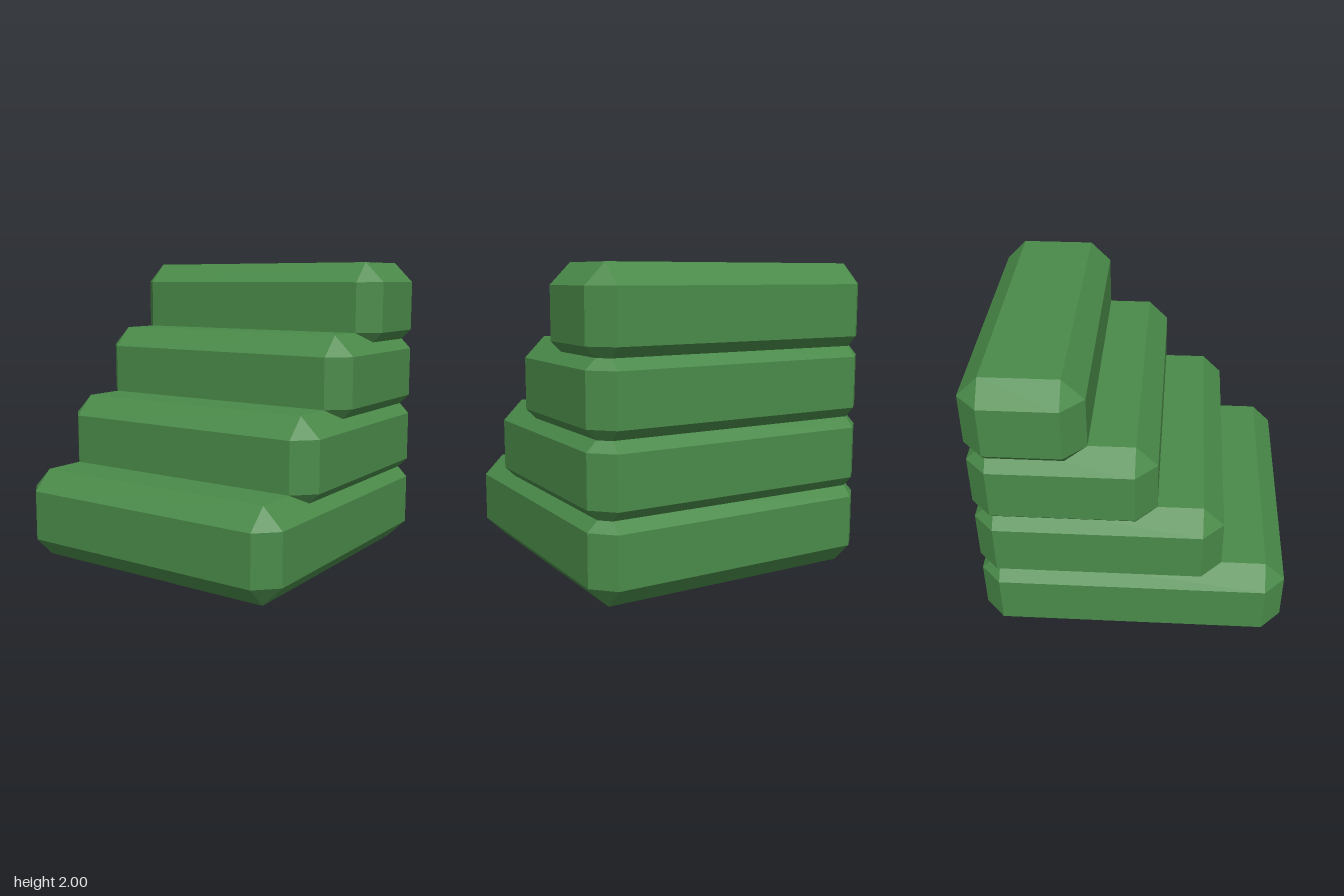
import * as THREE from 'three';
import { ConvexGeometry } from 'three/addons/geometries/ConvexGeometry.js';

const STEPS = 4;
const HEIGHT = 0.6;     // height of one step
const RISE = 1.4 / 3;   // steps overlap by one chamfer
const RUN = 0.42;       // how far each step sits back
const CHAMFER = 0.133;

// Box with every edge cut at 45 degrees: three points at each corner
function chamferedBox(w, h, d, c) {
  const points = [];
  for (const x of [-1, 1]) for (const y of [-1, 1]) for (const z of [-1, 1]) {
    for (let axis = 0; axis < 3; axis++) {
      const inset = [c, c, c];
      inset[axis] = 0;
      points.push(new THREE.Vector3(
        x * (w / 2 - inset[0]), y * (h / 2 - inset[1]), z * (d / 2 - inset[2])));
    }
  }
  return new ConvexGeometry(points);
}

export function createModel() {
  const model = new THREE.Group();
  model.name = 'stairs';
  const green = new THREE.MeshStandardMaterial({ color: 0x4a8a49 });
  green.name = 'green';

  // Steps share a back plane and get shallower going up
  for (let i = 0; i < STEPS; i++) {
    const depth = 2 - RUN * i;
    const step = new THREE.Mesh(chamferedBox(2, HEIGHT, depth, CHAMFER), green);
    step.name = `step${i + 1}`;
    step.position.set(0, HEIGHT / 2 + RISE * i, -1 + depth / 2);
    model.add(step);
  }
  return model;
}
